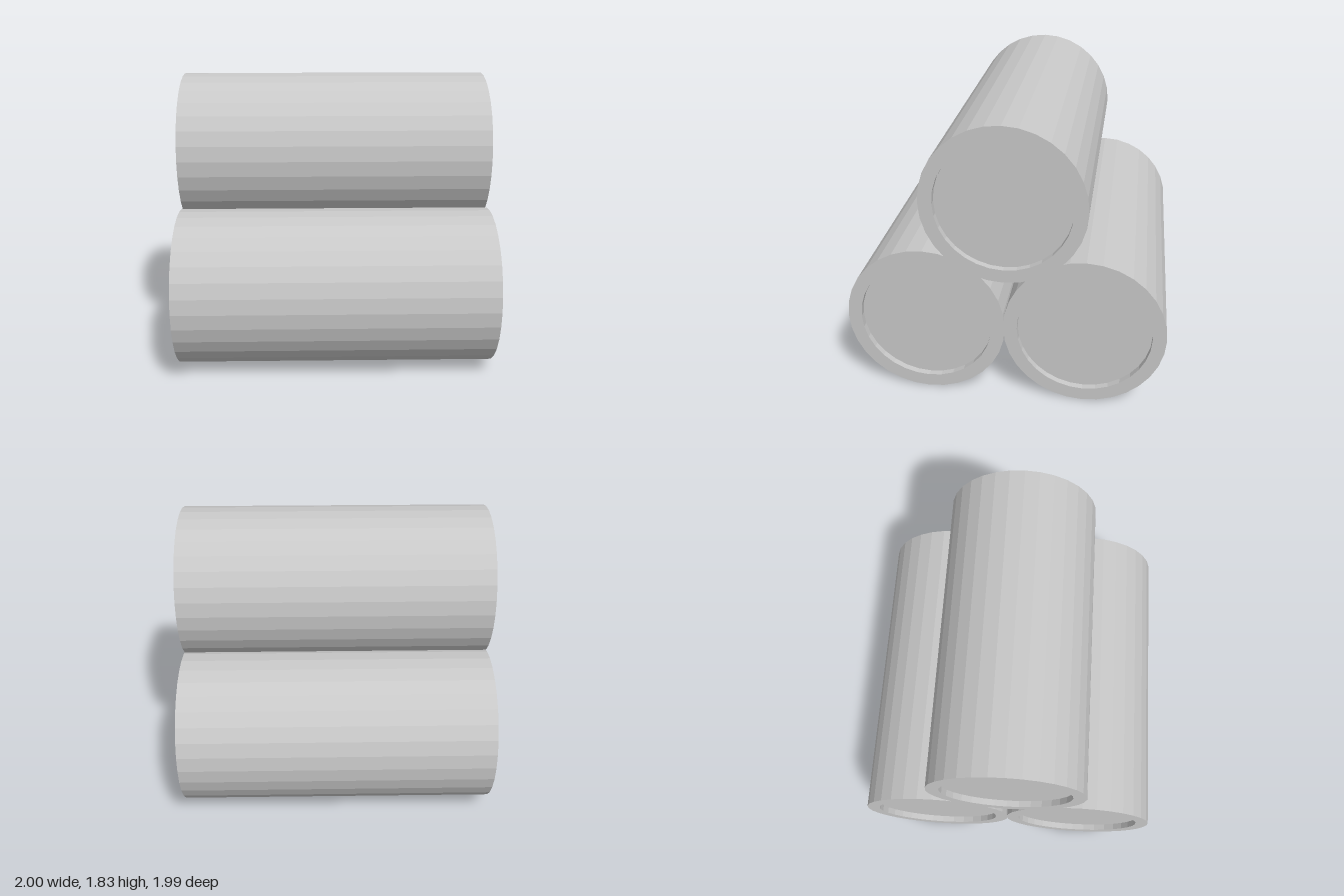
import * as THREE from 'three';

const HALF = 1, RADIUS = 0.5, INNER = 0.415, RECESS = 0.04;

export function createModel() {
  const model = new THREE.Group();
  model.name = 'rollStack';
  const grey = new THREE.MeshStandardMaterial({ color: 0xc8c8c8, flatShading: true });
  grey.name = 'light grey';

  // Roll profile: solid drum with a shallow recess in both ends
  const floor = HALF - RECESS;
  const profile = [
    [0, -floor], [INNER, -floor], [INNER, -HALF], [RADIUS, -HALF],
    [RADIUS, HALF], [INNER, HALF], [INNER, floor], [0, floor],
  ].map(([r, y]) => new THREE.Vector2(r, y));
  const rollGeometry = new THREE.LatheGeometry(profile, 32);
  rollGeometry.rotateZ(-Math.PI / 2); // lay the axis along x

  // Two rolls side by side, a third resting on top
  const rolls = [
    ['frontRoll', 0.5, 0.495],
    ['backRoll', 0.5, -0.495],
    ['topRoll', 1.325, 0],
  ];
  for (const [name, y, z] of rolls) {
    const roll = new THREE.Mesh(rollGeometry, grey);
    roll.name = name;
    roll.position.set(0, y, z);
    model.add(roll);
  }
  return model;
}
